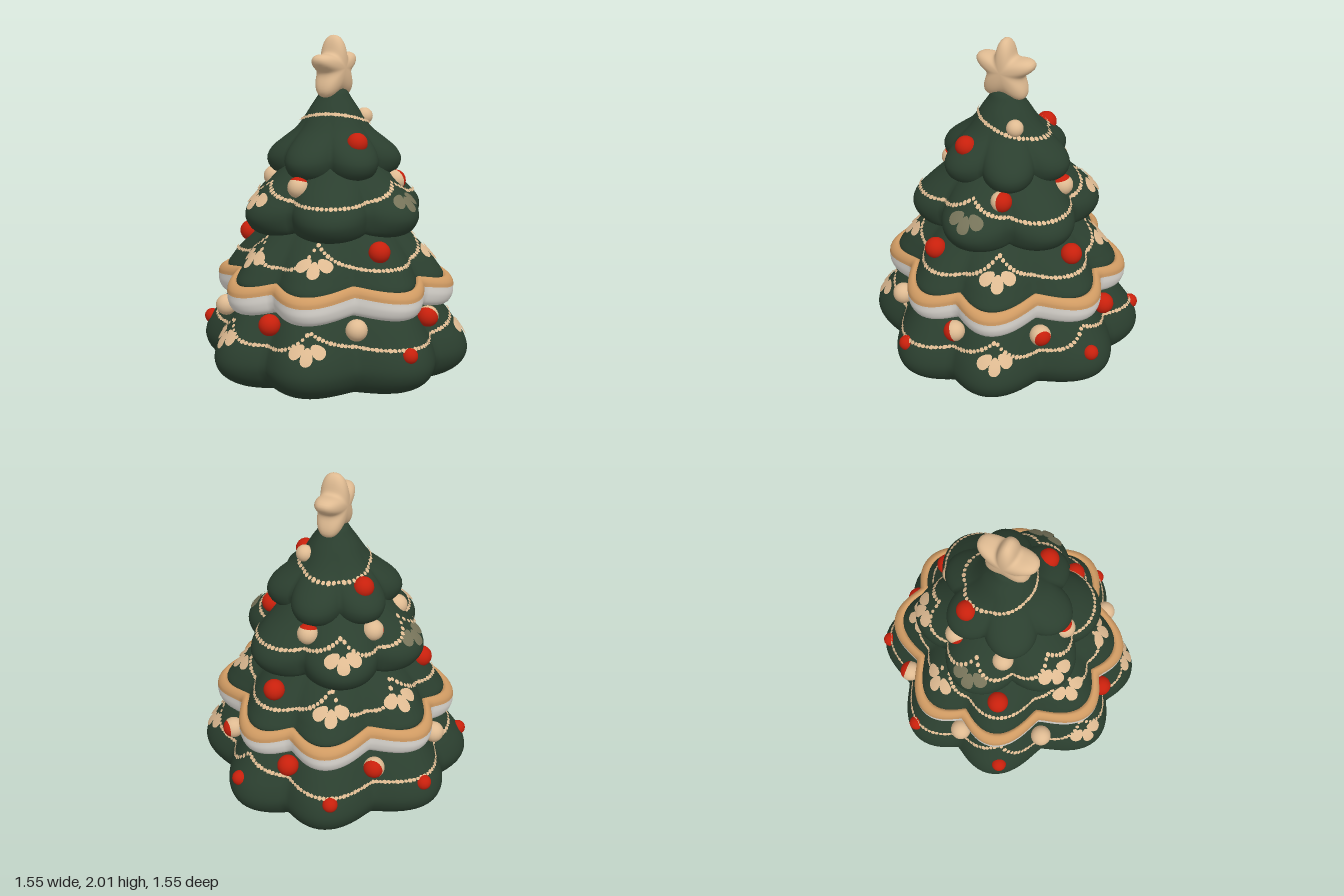
import * as THREE from 'three';
import { mergeGeometries, mergeVertices } from 'three/addons/utils/BufferGeometryUtils.js';
import { ParametricGeometry } from 'three/addons/geometries/ParametricGeometry.js';

const mat = (name, color) => {
  const m = new THREE.MeshStandardMaterial({ color });
  m.name = name;
  return m;
};
const RAD = Math.PI / 180;

export function createModel() {
  const green = mat('pine green', 0x2b3f2f);
  const cream = mat('cream', 0xdfbb92);
  const caramel = mat('caramel', 0xcf9a62);
  const white = mat('icing white', 0xdedad3);
  const red = mat('bauble red', 0xc8200c);
  const sage = mat('sage', 0x77745a);
  const tree = new THREE.Group();
  tree.name = 'decoratedTree';

  const add = (name, geometry, material, parent = tree) => {
    const mesh = new THREE.Mesh(geometry, material);
    mesh.name = name;
    parent.add(mesh);
    return mesh;
  };
  // Smooth welded surface from a two-parameter rule
  const smooth = (fn, us, vs) => {
    const g = new ParametricGeometry(fn, us, vs);
    g.deleteAttribute('normal');
    g.deleteAttribute('uv');
    const welded = mergeVertices(g, 1e-4);
    welded.computeVertexNormals();
    return welded;
  };

  // A scalloped tier: profile rows are [lobe radius, height, notch radius].
  // Pairing draws the lobes together two by two, with deeper gaps on the diagonals.
  function makeTier({ lobes, phase, power, lift, fade, pairing = 0 }, rows) {
    const curve = new THREE.CatmullRomCurve3(rows.map((r) => new THREE.Vector3(...r)));
    const c = new THREE.Vector3();
    const point = (t, a, out) => {
      curve.getPoint(t, c);
      const bent = a + 0.06 * pairing * Math.sin(4 * a);
      const s = Math.abs(Math.cos((lobes / 2) * (bent - phase * RAD))) ** power;
      const r = (c.z + (c.x - c.z) * s) * (1 + 0.025 * pairing * (1 - s) * Math.cos(4 * a));
      return out.set(r * Math.cos(a), c.y + lift * (1 - s) * (1 - t) ** fade, r * Math.sin(a));
    };
    // Point on the outer side at a given height, pushed slightly outward
    const at = (a, y, push = 0) => {
      const p = new THREE.Vector3();
      let lo = 0.3, hi = 1;
      for (let i = 0; i < 16; i++) {
        const mid = (lo + hi) / 2;
        if (point(mid, a, p).y < y) lo = mid;
        else hi = mid;
      }
      point(lo, a, p);
      return p.add(new THREE.Vector3(Math.cos(a) * push, push * 0.7, Math.sin(a) * push));
    };
    const geometry = smooth((u, v, out) => point(v, -u * 2 * Math.PI, out), 18 * lobes, 30);
    return { geometry, at };
  }

  // Branch tiers, bottom to top
  const eight = { lobes: 8, phase: 22.5, power: 1.2, lift: 0.03, fade: 2, pairing: 1 };
  const base = makeTier(eight, [
    [0, 0, 0], [0.55, 0, 0.54], [0.7, 0.035, 0.62], [0.785, 0.1, 0.67], [0.81, 0.17, 0.69],
    [0.79, 0.25, 0.67], [0.73, 0.34, 0.625], [0.65, 0.44, 0.56], [0.54, 0.54, 0.48]]);
  const skirt = makeTier(eight, [
    [0.5, 0.58, 0.45], [0.66, 0.605, 0.555], [0.62, 0.68, 0.53], [0.56, 0.75, 0.495],
    [0.48, 0.83, 0.44], [0.38, 0.93, 0.36]]);
  const middle = makeTier({ lobes: 6, phase: 0, power: 0.9, lift: 0.05, fade: 2 }, [
    [0.2, 0.93, 0.2], [0.4, 0.865, 0.36], [0.5, 0.885, 0.41], [0.55, 0.96, 0.43],
    [0.54, 1.02, 0.43], [0.47, 1.1, 0.39], [0.38, 1.18, 0.34], [0.28, 1.28, 0.26]]);
  const crown = makeTier({ lobes: 6, phase: 30, power: 0.9, lift: 0.04, fade: 2 }, [
    [0.15, 1.27, 0.15], [0.29, 1.195, 0.25], [0.365, 1.215, 0.28], [0.395, 1.28, 0.3],
    [0.37, 1.34, 0.285], [0.295, 1.405, 0.245], [0.225, 1.46, 0.205], [0.178, 1.52, 0.17],
    [0.14, 1.58, 0.14], [0.1, 1.64, 0.1], [0.075, 1.68, 0.075], [0, 1.71, 0]]);
  add('baseTier', base.geometry, green);
  add('skirtTier', skirt.geometry, green);
  add('middleTier', middle.geometry, green);
  add('crownTier', crown.geometry, green);

  // Scalloped band: white drape with a narrow caramel lip
  const band = { ...eight, lift: 0.035, fade: 0 };
  add('whiteBand', makeTier(band, [
    [0.5, 0.48, 0.43], [0.65, 0.442, 0.56], [0.695, 0.46, 0.59], [0.718, 0.505, 0.606],
    [0.722, 0.555, 0.61]]).geometry, white);
  add('caramelLip', makeTier(band, [
    [0.722, 0.555, 0.61], [0.717, 0.58, 0.606], [0.7, 0.602, 0.592], [0.675, 0.612, 0.57],
    [0.645, 0.59, 0.54]]).geometry, caramel);

  // Thin painted patch on a tier; the rule gives [right, up] offsets over a disc
  const patch = (tier, a, y, rule, rings, sides) => {
    const p = tier.at(a, y);
    const r = Math.hypot(p.x, p.z);
    return smooth((u, v, out) => {
      const [dx, dy] = rule(u, v * 2 * Math.PI);
      out.copy(tier.at(a - dx / r, y + dy, 0.008));
    }, rings, sides);
  };

  // Beaded garlands
  function garland(name, tier, count, heightAt) {
    const beads = [];
    for (let i = 0; i < count; i++) {
      const a = (i / count) * 2 * Math.PI;
      const size = 0.011 + 0.0015 * (i % 3);
      beads.push(patch(tier, a, heightAt(a / RAD),
        (u, t) => [size * u * Math.cos(t + i), 0.85 * size * u * Math.sin(t + i)], 1, 6));
    }
    add(name, mergeGeometries(beads), cream);
  }
  // Garland height hanging between peak angles (degrees, ascending)
  const swag = (peaks, low, high) => (deg) => {
    const n = peaks.length;
    for (let i = 0; i < n; i++) {
      const span = (peaks[(i + 1) % n] - peaks[i] + 360) % 360;
      const off = (deg - peaks[i] + 360) % 360;
      if (off <= span) return low + (high - low) * Math.abs((2 * off) / span - 1) ** 3;
    }
    return low;
  };
  garland('baseGarland', base, 200, swag([67.5, 112.5, 157.5, 292.5, 337.5], 0.3, 0.41));
  garland('skirtGarland', skirt, 156, swag([67.5, 112.5, 202.5, 247.5, 337.5], 0.72, 0.86));
  garland('middleGarland', middle, 124, swag([0, 120, 180, 240], 1.07, 1.17));
  garland('crownGarland', crown, 54, (deg) => 1.495 + 0.06 * Math.cos((deg - 65) * RAD));

  // Fans of three leaves lying on a tier
  function leafFan(tier, deg, y, slope, material) {
    const leaves = [-140, -90, -40].map((dir) => {
      const cos = Math.cos(dir * RAD), sin = Math.sin(dir * RAD);
      return patch(tier, deg * RAD, y, (u, t) => {
        const along = 0.072 + 0.047 * u * Math.cos(t);
        const across = 0.031 * u * Math.sin(t) * (1 + 0.25 * Math.cos(t));
        return [along * cos - across * sin, slope * (along * sin + across * cos)];
      }, 5, 16);
    });
    add('leafFan', mergeGeometries(leaves), material);
  }
  [67.5, 112.5, 337.5].forEach((d) => leafFan(base, d, 0.365, 1, cream));
  [67.5, 112.5, 202.5, 247.5, 337.5].forEach((d) => leafFan(skirt, d, 0.8, 0.9, cream));
  [120, 240].forEach((d) => leafFan(middle, d, 1.12, 0.9, cream));
  [0, 180].forEach((d) => leafFan(middle, d, 1.12, 0.9, sage));

  // Baubles: plain, or cream with a red cap facing a direction
  function bauble(deg, radius, y, size, colour, capDir, cap) {
    const g = new THREE.Group();
    g.name = 'bauble';
    g.position.set(radius * Math.cos(deg * RAD), y, radius * Math.sin(deg * RAD));
    if (capDir) {
      const part = (from, to) =>
        new THREE.SphereGeometry(size, 20, 8, 0, 2 * Math.PI, from * Math.PI, (to - from) * Math.PI);
      add('redCap', part(0, cap), red, g);
      add('creamPart', part(cap, 1), cream, g);
      g.quaternion.setFromUnitVectors(new THREE.Vector3(0, 1, 0), new THREE.Vector3(...capDir).normalize());
    } else add('ball', new THREE.SphereGeometry(size, 20, 14), colour, g);
    tree.add(g);
  }
  // Row under the band
  [[0, null, [0.2, -0.4, 1], 0.5], [45, cream], [90, red], [135, cream], [180, cream],
    [225, null, [-0.1, 0.1, -1], 0.38], [270, red], [315, null, [0.65, 0, -0.75], 0.3]]
    .forEach(([d, ...look]) => bauble(d, 0.65, 0.42, 0.062, ...look));
  // Small baubles on the lowest lobes
  [22.5, 157.5, 202.5, 247.5, 292.5].forEach((d) => bauble(d, 0.765, 0.27, 0.045, red));
  // Skirt baubles
  [[26, 0.51], [160, 0.52], [287, 0.525]].forEach(([d, r]) => bauble(d, r, 0.815, 0.062, red));
  // Row above the middle tier
  [[90, null, [0, 1, -0.3], 0.3], [158, cream], [209, null, [-0.6, -0.3, 0.7], 0.25],
    [270, null, [0, 1, 0.3], 0.3], [337, null, [0.2, 0.2, -1], 0.45]]
    .forEach(([d, ...look]) => bauble(d, 0.365, 1.16, 0.062, ...look));
  // Crown baubles
  bauble(28, 0.28, 1.405, 0.06, red);
  bauble(210, 0.28, 1.405, 0.06, red);
  bauble(317, 0.18, 1.525, 0.05, cream);

  // Puffy five-pointed star facing sideways, with stout lower legs
  const pw = (v, e) => Math.sign(v) * Math.abs(v) ** e;
  add('star', smooth((u, v, out) => {
    const a = u * 2 * Math.PI, phi = v * Math.PI;
    const tip = ((1 + Math.cos(5 * (a - Math.PI / 2))) / 2) ** 1.2;
    const up = Math.sin(a);
    const inner = 0.107 + 0.04 * Math.max(0, -up);
    const rho = (inner + (0.188 + 0.01 * Math.max(0, -up) - inner) * tip) * pw(Math.sin(phi), 0.75);
    out.set(0.083 * pw(Math.cos(phi), 0.85), 1.812 + rho * up, rho * Math.cos(a));
  }, 80, 24), cream);

  return tree;
}
